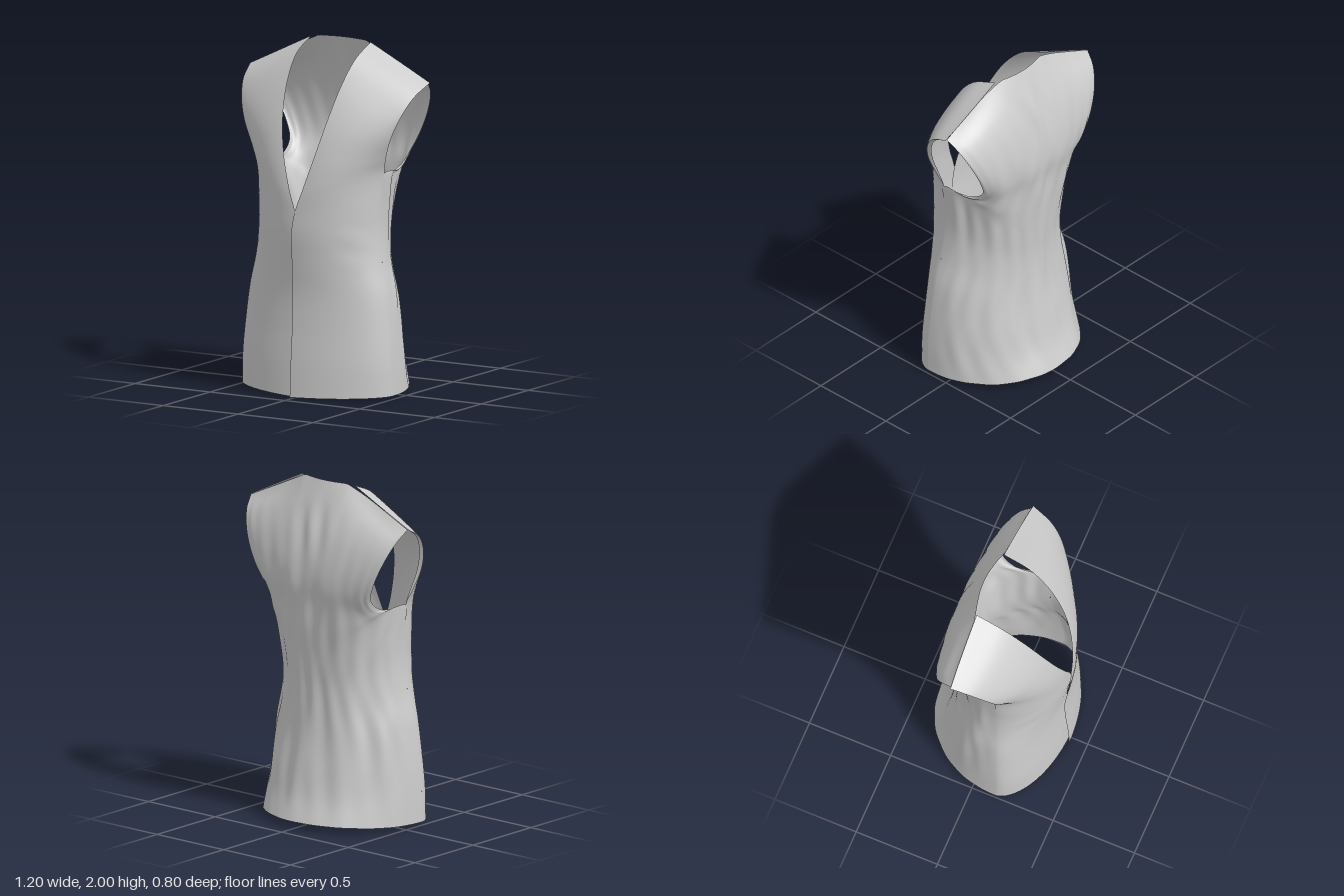
import * as THREE from 'three';

const material = new THREE.MeshStandardMaterial({ color: 0xcccccc, side: THREE.DoubleSide });

// Grid surface: point(u, v) gives [x, y, z]; u runs rightwards and v upwards seen from outside
function sheet(name, point, nu, nv) {
  const pos = [], index = [];
  for (let j = 0; j <= nv; j++)
    for (let i = 0; i <= nu; i++) {
      pos.push(...point(i / nu, j / nv));
      if (i < nu && j < nv) {
        const a = j * (nu + 1) + i, b = a + 1, c = b + nu + 1, d = a + nu + 1;
        index.push(a, b, c, a, c, d);
      }
    }
  const geo = new THREE.BufferGeometry();
  geo.setAttribute('position', new THREE.Float32BufferAttribute(pos, 3));
  geo.setIndex(index);
  geo.computeVertexNormals();
  const mesh = new THREE.Mesh(geo, material);
  mesh.name = name;
  return mesh;
}

const curve = (pts) => new THREE.CatmullRomCurve3(pts.map((p) => new THREE.Vector3(...p)));
const { lerp, smoothstep } = THREE.MathUtils;

// Side seam from hem to underarm, shared by front and back
const seam = [
  [0.495, 0.022, 0.14], [0.49, 0.2, 0.145], [0.475, 0.4, 0.135], [0.45, 0.6, 0.125],
  [0.41, 0.78, 0.115], [0.392, 0.95, 0.105], [0.395, 1.1, 0.1], [0.412, 1.29, 0.095],
];
// Front opening and neckline
const frontEdge = curve([
  [-0.03, 0.005, 0.4], [-0.03, 0.2, 0.39], [-0.03, 0.4, 0.375], [-0.03, 0.6, 0.37],
  [-0.025, 0.78, 0.385], [-0.02, 0.95, 0.4], [0, 1.07, 0.397], [0.045, 1.2, 0.387],
  [0.105, 1.4, 0.35], [0.15, 1.6, 0.285], [0.18, 1.79, 0.182], [0.195, 1.92, 0.06], [0.197, 1.995, -0.1],
]);
// Seam continued along the front of the armhole to the shoulder
const frontSide = curve([
  ...seam, [0.44, 1.38, 0.125], [0.485, 1.5, 0.145], [0.53, 1.62, 0.115],
  [0.57, 1.73, 0.035], [0.6, 1.8, -0.09],
]);
// Centre line of the back
const backCentre = curve([
  [0, 0.045, -0.4], [0, 0.18, -0.345], [0, 0.35, -0.305], [0, 0.51, -0.275], [0, 0.66, -0.26],
  [0, 0.8, -0.255], [0, 0.93, -0.26], [0, 1.04, -0.266], [0, 1.16, -0.275], [0, 1.29, -0.285],
  [0, 1.42, -0.3], [0, 1.55, -0.29], [0, 1.71, -0.253], [0, 1.86, -0.2], [0, 2, -0.14],
]);
// Seam continued under and behind the armhole to the shoulder
const backSide = curve([
  ...seam, [0.402, 1.287, 0], [0.39, 1.3, -0.1], [0.4, 1.37, -0.19], [0.45, 1.48, -0.222],
  [0.515, 1.62, -0.207], [0.562, 1.73, -0.158], [0.588, 1.8, -0.09],
]);

// Front panel: each row bends as part of an ellipse from opening to side
function frontPanel(name, side, inset) {
  return sheet(name, (u, v) => {
    const t = side > 0 ? u : 1 - u;
    const a = frontEdge.getPoint(v), b = frontSide.getPoint(v);
    const s = Math.sin(t * Math.PI / 2), c = Math.max(0, Math.cos(t * Math.PI / 2));
    const x = lerp(a.x, b.x, s), y = lerp(a.y, b.y, s);
    // soft pull folds at the waist
    const fold = 0.004 * Math.sin(y * 38 + s * 5) * Math.exp(-(((y - 0.88) / 0.13) ** 2))
      * smoothstep(s, 0.5, 0.8) * c;
    const bend = lerp(1.15, 1.4, smoothstep(v, 0.45, 0.75));
    return [side * x, y, lerp(b.z, a.z - inset * (1 - v), Math.pow(c, bend)) + fold];
  }, 32, 72);
}

// Depth of the cloth folds on the back
function folds(x, y, angle) {
  const sway = 1.3 * Math.sin(2.6 * y + 2 * x) + 0.6 * Math.sin(7.1 * y - 3 * x);
  const low = 0.008 * Math.sin(10 * angle + sway) * (0.6 + 0.4 * Math.sin(5 * y + 4 * x));
  const fine = 0.005 * Math.sin(21 * angle - 1.6 * sway + 1) * Math.sin(6 * y - 5 * x);
  const neck = 0.009 * Math.cos(42 * x + 0.8 * Math.sin(9 * y))
    * Math.exp(-((x / 0.13) ** 2) - (((y - 1.72) / 0.16) ** 2));
  return (low + fine) * (1 - 0.65 * smoothstep(y, 1.15, 1.6)) + neck;
}

// Back panel: one wide sheet from left seam to right seam
function backPanel() {
  return sheet('backPanel', (u, v) => {
    const angle = (1 - 2 * u) * Math.PI / 2, sin = Math.sin(angle);
    const cos = Math.max(0, Math.cos(angle));
    const a = backCentre.getPoint(v), b = backSide.getPoint(v);
    // rows are superellipses, fullest at the underarm
    const n = 2.1 + 0.5 * Math.exp(-(((v - 0.58) / 0.14) ** 2));
    const r = Math.pow(Math.pow(Math.abs(sin), n) + Math.pow(cos, n), -1 / n);
    const s = Math.abs(sin) * r;
    // the top row runs level across the neck, then slopes along the shoulder
    const climb = Math.pow(s, lerp(3, 1, smoothstep(v, 0.72, 0.97)));
    const drop = lerp(climb, Math.max(0, (s - 0.27) / 0.73), Math.pow(v, 12));
    const x = b.x * sin * r, y = lerp(a.y, b.y, drop);
    const z = lerp(b.z, a.z, Math.pow(cos * r, 1 + 20 * Math.pow(v, 40)));
    const fade = smoothstep(cos, 0, 0.4) * smoothstep(1 - v, 0, 0.1) * smoothstep(v, -0.06, 0.12);
    const d = folds(x, y, angle) * fade;
    return [x + d * sin, y, z - d * cos];
  }, 110, 110);
}

// Narrow turned-in facing along the front of the armhole
function armholeFacing(name, side) {
  return sheet(name, (u, v) => {
    const t = side > 0 ? u : 1 - u;
    const p = frontSide.getPoint(lerp(7 / 12, 1, v));
    const w = t * Math.sin(v * Math.PI);
    return [side * (p.x - 0.015 * w), p.y - 0.006 * w, p.z - 0.022 * w];
  }, 2, 30);
}

export function createModel() {
  const vest = new THREE.Group();
  vest.name = 'vest';
  vest.add(
    frontPanel('leftFrontPanel', 1, 0),
    frontPanel('rightFrontPanel', -1, 0.014),
    backPanel(),
    armholeFacing('leftArmholeFacing', 1),
    armholeFacing('rightArmholeFacing', -1),
  );
  return vest;
}
